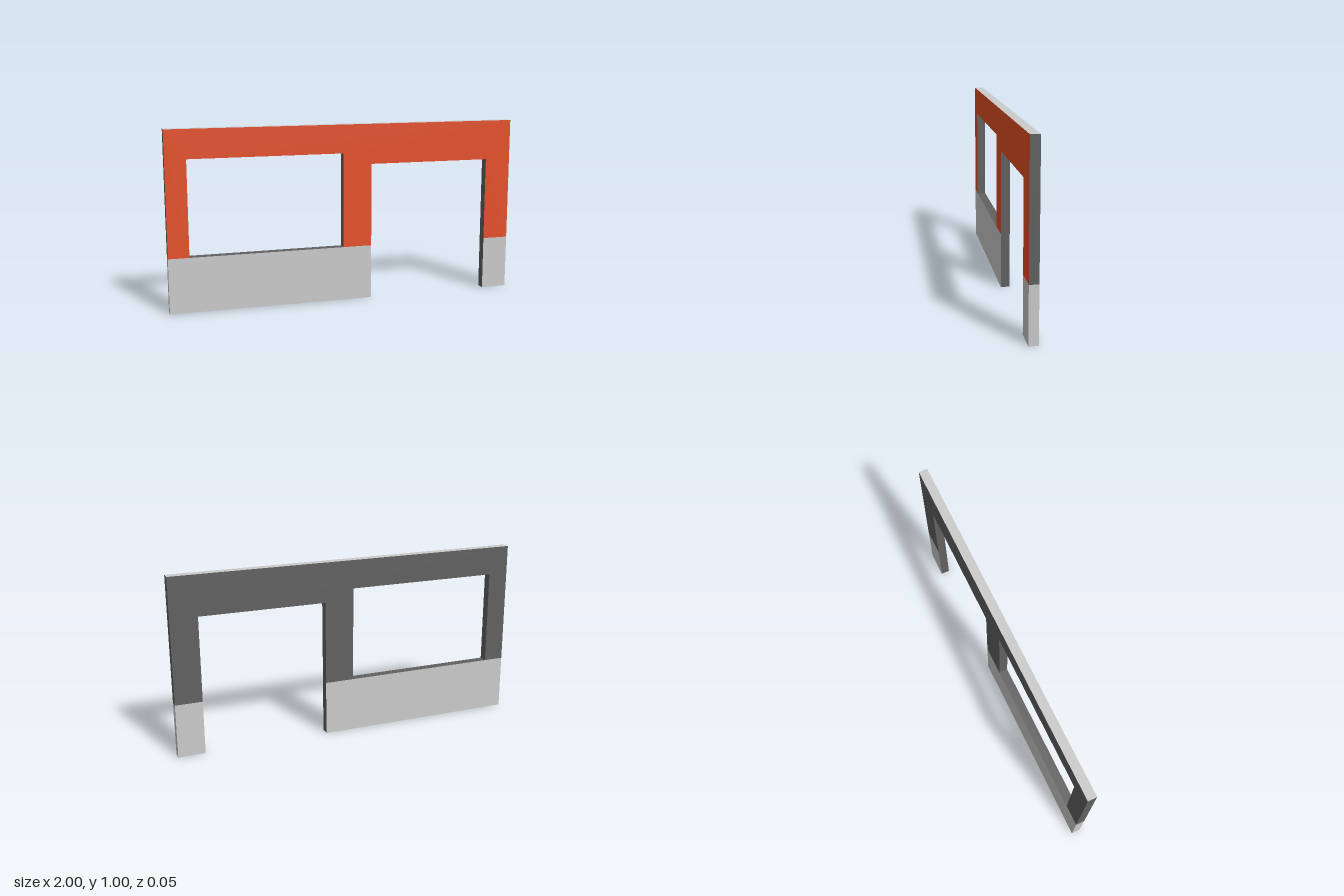
import * as THREE from 'three';

const HALF = 0.025; // half the wall thickness
const paint = (color) => new THREE.MeshStandardMaterial({ color });

export function createModel() {
  const wall = new THREE.Group();
  wall.name = 'wallPanel';
  const grey = paint(0xcccccc), dark = paint(0x616161), red = paint(0xe54f27);

  const add = (name, geometry, material) => {
    const mesh = new THREE.Mesh(geometry, material);
    mesh.name = name;
    wall.add(mesh);
    return mesh;
  };

  // A flat facing on the front and the back of the wall
  const facing = (name, points, frontMat, backMat) => {
    const shape = new THREE.Shape(points.map(([x, y]) => new THREE.Vector2(x, y)));
    add(name + 'Front', new THREE.ShapeGeometry(shape), frontMat).position.z = HALF;
    const mirrored = new THREE.Shape(points.map(([x, y]) => new THREE.Vector2(-x, y)));
    const back = add(name + 'Back', new THREE.ShapeGeometry(mirrored), backMat);
    back.rotation.y = Math.PI;
    back.position.z = -HALF;
  };

  // Strips across the thickness along a path; the solid lies left of the path
  const edging = (name, path, material) => {
    const positions = [];
    for (let i = 0; i + 1 < path.length; i++) {
      const [x1, y1] = path[i], [x2, y2] = path[i + 1];
      positions.push(x1, y1, -HALF, x2, y2, -HALF, x2, y2, HALF);
      positions.push(x1, y1, -HALF, x2, y2, HALF, x1, y1, HALF);
    }
    const geometry = new THREE.BufferGeometry();
    geometry.setAttribute('position', new THREE.Float32BufferAttribute(positions, 3));
    geometry.computeVertexNormals();
    add(name, geometry, material);
  };

  // Opening and plinth dimensions
  const doorL = 0.145, doorR = 0.85, doorTop = 0.775;
  const winL = -0.885, winR = -0.02, winTop = 0.84;
  const sill = 0.307, pier = 0.302;

  // Painted upper wall, wrapping the window and the doorway
  facing('upperWall', [
    [-1, sill], [winL, sill], [winL, winTop], [winR, winTop], [winR, sill], [doorL, sill],
    [doorL, doorTop], [doorR, doorTop], [doorR, pier], [1, pier], [1, 1], [-1, 1],
  ], red, dark);

  // Plinths under the window and beside the doorway
  facing('windowPlinth', [[-1, 0], [doorL, 0], [doorL, sill], [-1, sill]], grey, grey);
  facing('doorPlinth', [[doorR, 0], [1, 0], [1, pier], [doorR, pier]], grey, grey);

  // Reveals, underside and outer ends
  edging('windowReveal',
    [[winL, sill], [winL, winTop], [winR, winTop], [winR, sill], [winL, sill]], dark);
  edging('doorReveal',
    [[-1, 0], [doorL, 0], [doorL, doorTop], [doorR, doorTop], [doorR, 0], [1, 0]], dark);
  edging('rightPlinthEnd', [[-1, sill], [-1, 0]], grey);
  edging('leftPlinthEnd', [[1, 0], [1, pier]], grey);
  edging('rightWallEnd', [[-1, 1], [-1, sill]], dark);
  edging('leftWallEnd', [[1, pier], [1, 1]], dark);
  edging('topEdge', [[1, 1], [-1, 1]], grey);

  return wall;
}
